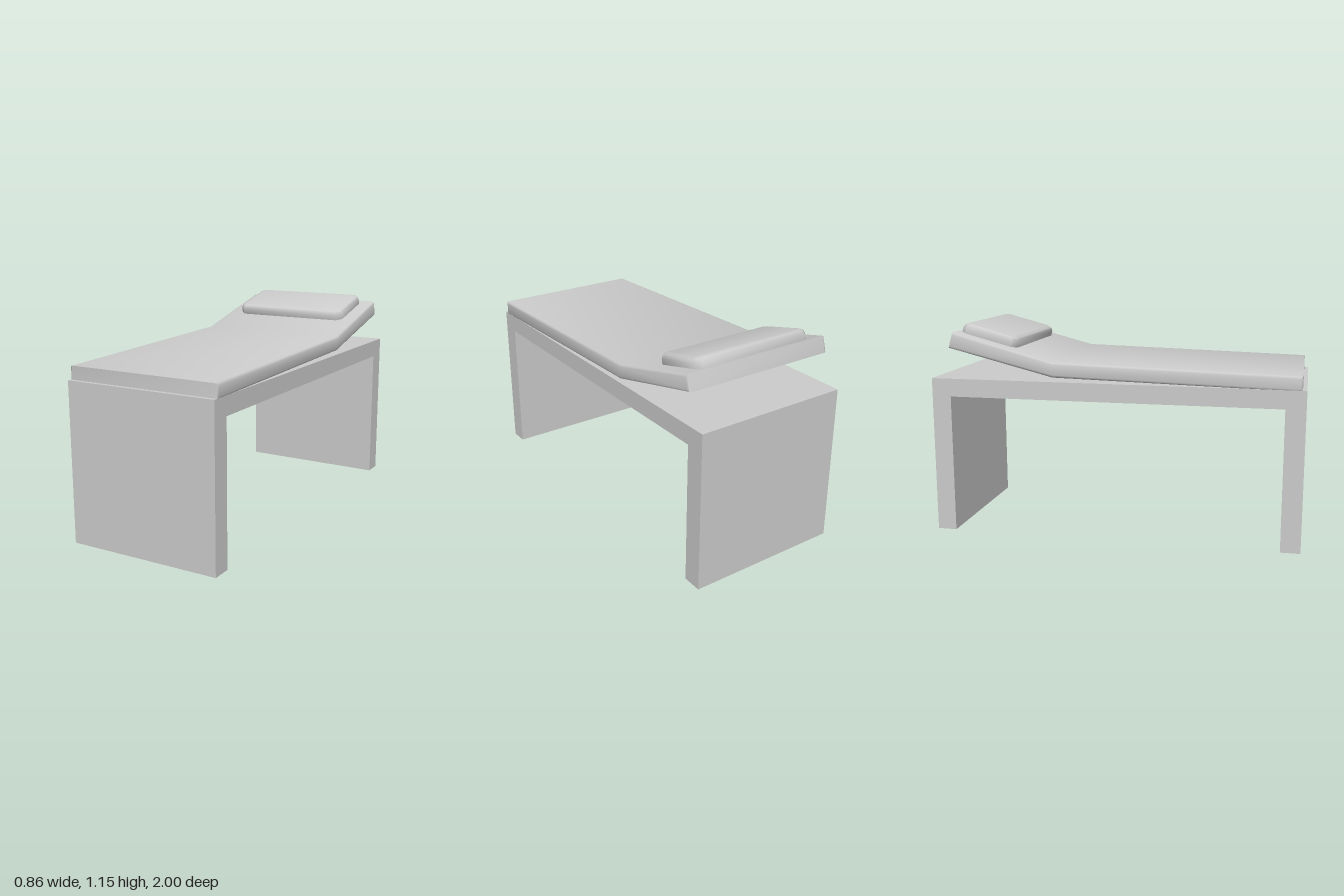
import * as THREE from 'three';
import { toCreasedNormals } from 'three/addons/utils/BufferGeometryUtils.js';

const material = new THREE.MeshStandardMaterial({ color: 0xcccccc });

function outline(points) {
  return new THREE.Shape(points.map(([a, b]) => new THREE.Vector2(a, b)));
}

// Extrudes a side profile given as [z, y] across the full width, centred on x = 0
function acrossWidth(points, width, bevel = 0) {
  const depth = width - 2 * bevel;
  const geometry = new THREE.ExtrudeGeometry(outline(points), {
    depth, bevelEnabled: bevel > 0, bevelSize: bevel, bevelThickness: bevel,
    bevelOffset: -bevel, bevelSegments: 2,
  });
  geometry.translate(0, 0, -depth / 2);
  geometry.rotateY(-Math.PI / 2);
  return geometry;
}

function addMesh(group, name, geometry) {
  const mesh = new THREE.Mesh(geometry, material);
  mesh.name = name;
  group.add(mesh);
  return mesh;
}

export function createModel() {
  const group = new THREE.Group();
  group.name = 'daybed';

  // Bench: a slab top folded down into two full-width legs
  addMesh(group, 'benchFrame', acrossWidth([
    [1, 0], [1, 0.855], [-1, 0.855], [-1, 0],
    [-0.895, 0], [-0.895, 0.757], [0.895, 0.757], [0.895, 0],
  ], 0.85));

  // Mattress: gently rising pad with a raised head section
  const mattress = acrossWidth([
    [0.978, 0.848], [0.978, 0.926], [-0.32, 0.96],
    [-0.875, 1.105], [-0.9, 1.022], [-0.32, 0.878],
  ], 0.856, 0.014);
  addMesh(group, 'mattress', toCreasedNormals(mattress, 0.9));

  // Pillow: cut-corner cushion lying on the raised section
  const w = 0.345, l = 0.161, c = 0.03, bevel = 0.028;
  const cushion = new THREE.ExtrudeGeometry(outline([
    [w - c, -l], [w, -l + c], [w, l - c], [w - c, l],
    [-w + c, l], [-w, l - c], [-w, -l + c], [-w + c, -l],
  ]), {
    depth: 0.05, bevelSize: bevel, bevelThickness: bevel,
    bevelOffset: -bevel, bevelSegments: 2,
  });
  cushion.rotateX(-Math.PI / 2);
  const pillow = addMesh(group, 'pillow', toCreasedNormals(cushion, 0.9));
  pillow.rotation.x = 0.253;
  pillow.position.set(0, 1.037, -0.707);

  return group;
}
